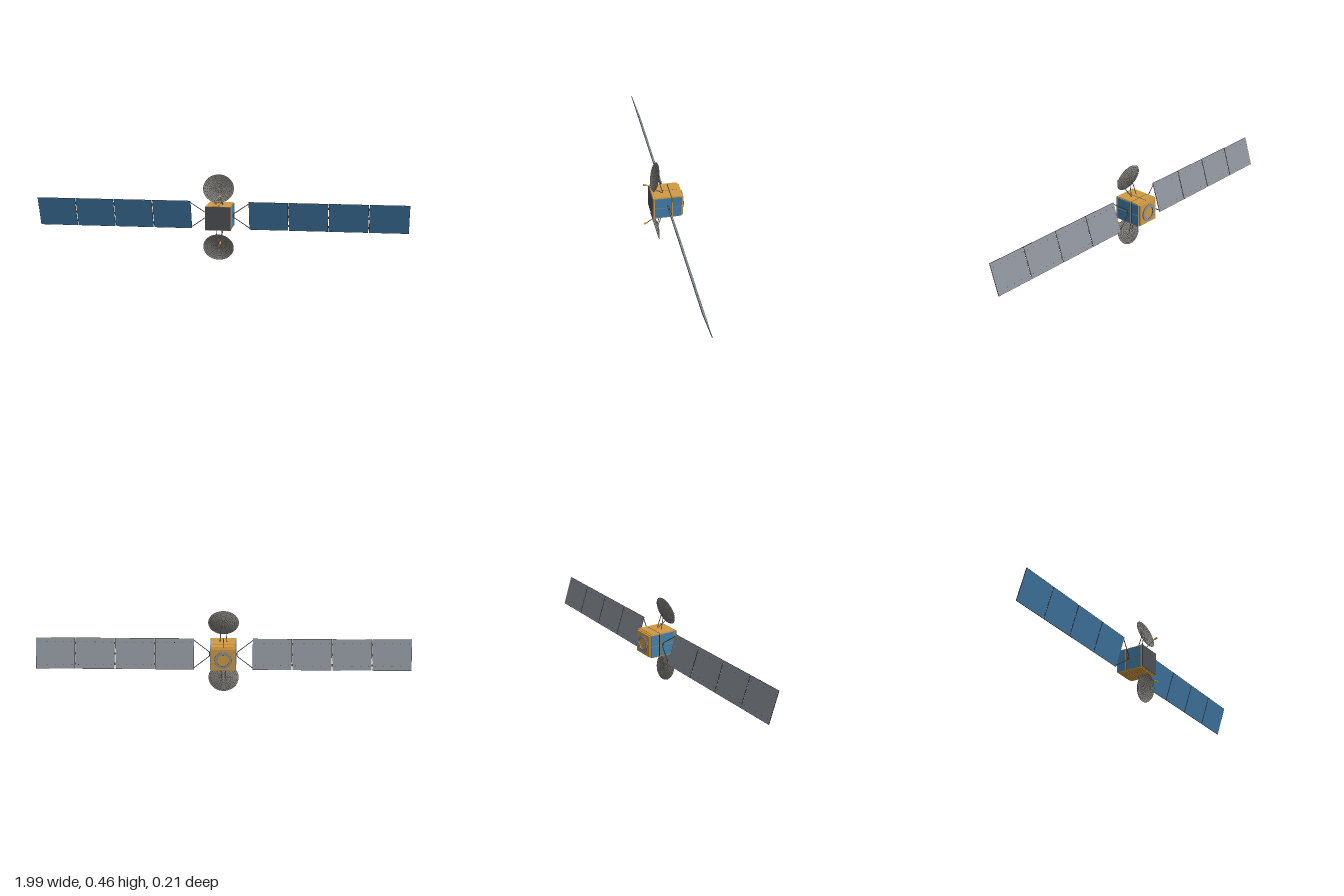
import * as THREE from 'three';

const mat = (name, color) => {
  const m = new THREE.MeshStandardMaterial({ color });
  m.name = name;
  return m;
};

export function createModel() {
  const gold = mat('gold foil', 0xd09a42);
  const blue = mat('solar blue', 0x4580ae);
  const grey = mat('panel grey', 0x8b9098);
  const dark = mat('dark panel', 0x4c4f55);
  const black = mat('black trim', 0x2c2d2f);
  const strutGrey = mat('strut grey', 0x4a4a4a);
  const mesh = mat('dish grey', 0x85827b);
  mesh.side = THREE.DoubleSide;

  const model = new THREE.Group();
  model.name = 'satellite';
  const MID = 0.229;

  const add = (parent, name, geometry, material, x = 0, y = 0, z = 0) => {
    const m = new THREE.Mesh(geometry, material);
    m.name = name;
    m.position.set(x, y, z);
    parent.add(m);
    return m;
  };
  const box = (parent, name, material, w, h, d, x, y, z) =>
    add(parent, name, new THREE.BoxGeometry(w, h, d), material, x, y, z);
  // Round bar between two points
  const rod = (parent, name, material, a, b, r, r2 = r) => {
    const A = new THREE.Vector3(...a), B = new THREE.Vector3(...b);
    const m = add(parent, name, new THREE.CylinderGeometry(r2, r, A.distanceTo(B), 10), material);
    m.position.copy(A).add(B).multiplyScalar(0.5);
    m.quaternion.setFromUnitVectors(new THREE.Vector3(0, 1, 0), B.sub(A).normalize());
    return m;
  };

  // Body
  const body = new THREE.Group();
  body.name = 'body';
  model.add(body);
  box(body, 'bodyCore', gold, 0.13, 0.124, 0.15, 0, MID, -0.013);
  box(body, 'frontFrame', gold, 0.138, 0.128, 0.009, 0, MID, 0.0585);
  box(body, 'frontPanel', dark, 0.134, 0.124, 0.005, 0, MID, 0.0655);
  box(body, 'backPlate', gold, 0.122, 0.116, 0.009, 0, MID, -0.0915);

  for (const s of [-1, 1]) {
    // Blue side panels in two rows and two columns
    for (const [z, d] of [[0.0125, 0.085], [-0.065, 0.046]]) {
      for (const t of [-1, 1]) {
        box(body, 'sidePanel', blue, 0.004, 0.058, d, s * 0.0665, MID + t * 0.0305, z);
      }
    }
    box(body, 'sideSeam', black, 0.001, 0.12, 0.003, s * 0.0655, MID, -0.036);
    // Foil plates and seams above and below
    for (const [z, d] of [[0.011, 0.084], [-0.056, 0.042]]) {
      for (const t of [-1, 1]) {
        box(body, 'foilPlate', gold, 0.061, 0.003, d, t * 0.0325, MID + s * 0.0635, z);
      }
    }
    box(body, 'foilSeamLong', black, 0.004, 0.001, 0.13, 0, MID + s * 0.0625, -0.012);
    box(body, 'foilSeamCross', black, 0.126, 0.001, 0.004, 0, MID + s * 0.0625, -0.033);
  }

  // Ring on the back
  const ringShape = new THREE.Shape().absarc(0, 0, 0.045, 0, Math.PI * 2);
  ringShape.holes.push(new THREE.Path().absarc(0, 0, 0.032, 0, Math.PI * 2, true));
  add(body, 'adapterRing', new THREE.ExtrudeGeometry(ringShape,
    { depth: 0.009, bevelEnabled: false, curveSegments: 32 }), grey, 0, MID, -0.104);
  add(body, 'ringLip', new THREE.TorusGeometry(0.0445, 0.0017, 8, 40), dark, 0, MID, -0.1);
  add(body, 'ringInnerLip', new THREE.TorusGeometry(0.0322, 0.0012, 8, 40), black, 0, MID, -0.1025);

  // Solar wings, tilted with the top edge forward
  const H = 0.165, W = 0.2065, PITCH = 0.2105, START = 0.155;
  for (const s of [-1, 1]) {
    const wing = new THREE.Group();
    wing.name = s > 0 ? 'leftWing' : 'rightWing';
    wing.position.set(0, 0.232, -0.018);
    wing.rotation.x = 0.314;
    model.add(wing);
    for (let i = 0; i < 4; i++) {
      const x = s * (START + W / 2 + i * PITCH);
      box(wing, 'panelCore', black, W, H, 0.003, x, 0, 0);
      box(wing, 'panelCells', blue, W - 0.003, H - 0.003, 0.001, x, 0, 0.0016);
      box(wing, 'panelBack', grey, W - 0.003, H - 0.003, 0.001, x, 0, -0.0016);
      // Fasteners on the back
      for (let j = 0; j < 5; j++) {
        for (const t of [-1, 1]) {
          box(wing, 'fastener', black, 0.003, 0.003, 0.001,
            x + (j - 2) * 0.044, t * 0.06, -0.0022);
        }
      }
      // Hinges to the next panel
      if (i < 3) {
        for (const t of [-1, 0, 1]) {
          box(wing, 'hinge', strutGrey, 0.008, 0.012, 0.003,
            x + s * PITCH / 2, t * 0.055, -0.0015);
        }
      }
    }
    // Yoke
    for (const t of [-1, 1]) {
      rod(wing, 'yokeArm', black, [s * 0.072, t * 0.01, 0], [s * 0.156, t * 0.073, 0], 0.002);
    }
    rod(wing, 'yokeHub', strutGrey, [s * 0.066, 0, 0], [s * 0.076, 0, 0], 0.006);
    rod(wing, 'yokeBar', black, [s * 0.073, -0.012, 0], [s * 0.073, 0.012, 0], 0.002);
  }

  // Dish antennas above and below, mirrored about the body
  const R = 0.08, DEPTH = 0.017;
  const bowl = r => DEPTH * (r / R) ** 2;
  const profile = Array.from({ length: 9 }, (_, i) => new THREE.Vector2(R * i / 8, bowl(R * i / 8)));
  for (const s of [1, -1]) {
    const antenna = new THREE.Group();
    antenna.name = s > 0 ? 'upperAntenna' : 'lowerAntenna';
    model.add(antenna);
    const Y = y => MID + s * y;

    const dish = new THREE.Group();
    dish.name = 'dish';
    dish.position.set(0, Y(0.1525), 0.0275);
    dish.rotation.x = Math.PI / 2 - s * 0.262;
    dish.scale.z = 0.92;
    antenna.add(dish);
    add(dish, 'reflector', new THREE.LatheGeometry(profile, 40), mesh);
    // Lattice of rings and ribs
    for (let i = 1; i <= 8; i++) {
      const ring = add(dish, 'dishRing',
        new THREE.TorusGeometry(R * i / 8, i === 8 ? 0.0013 : 0.0009, 5, 40), strutGrey, 0, bowl(R * i / 8), 0);
      ring.rotation.x = Math.PI / 2;
    }
    for (let i = 0; i < 24; i++) {
      const a = i * Math.PI / 12;
      const path = new THREE.CatmullRomCurve3([0.12, 0.4, 0.7, 1].map(f =>
        new THREE.Vector3(Math.cos(a) * R * f, bowl(R * f), Math.sin(a) * R * f)));
      add(dish, 'dishRib', new THREE.TubeGeometry(path, 8, 0.0008, 4), strutGrey);
    }

    // Supports and feed horn
    for (const t of [-1, 1]) {
      rod(antenna, 'dishStrut', strutGrey, [t * 0.02, Y(0.056), 0.002], [t * 0.008, Y(0.153), 0.028], 0.002);
    }
    rod(antenna, 'feedArm', strutGrey, [0.016, Y(0.06), 0.002], [0.016, Y(0.123), 0.093], 0.002);
    rod(antenna, 'feedHorn', gold, [0.016, Y(0.121), 0.088], [0.016, Y(0.127), 0.106], 0.0045, 0.0055);
  }

  return model;
}
